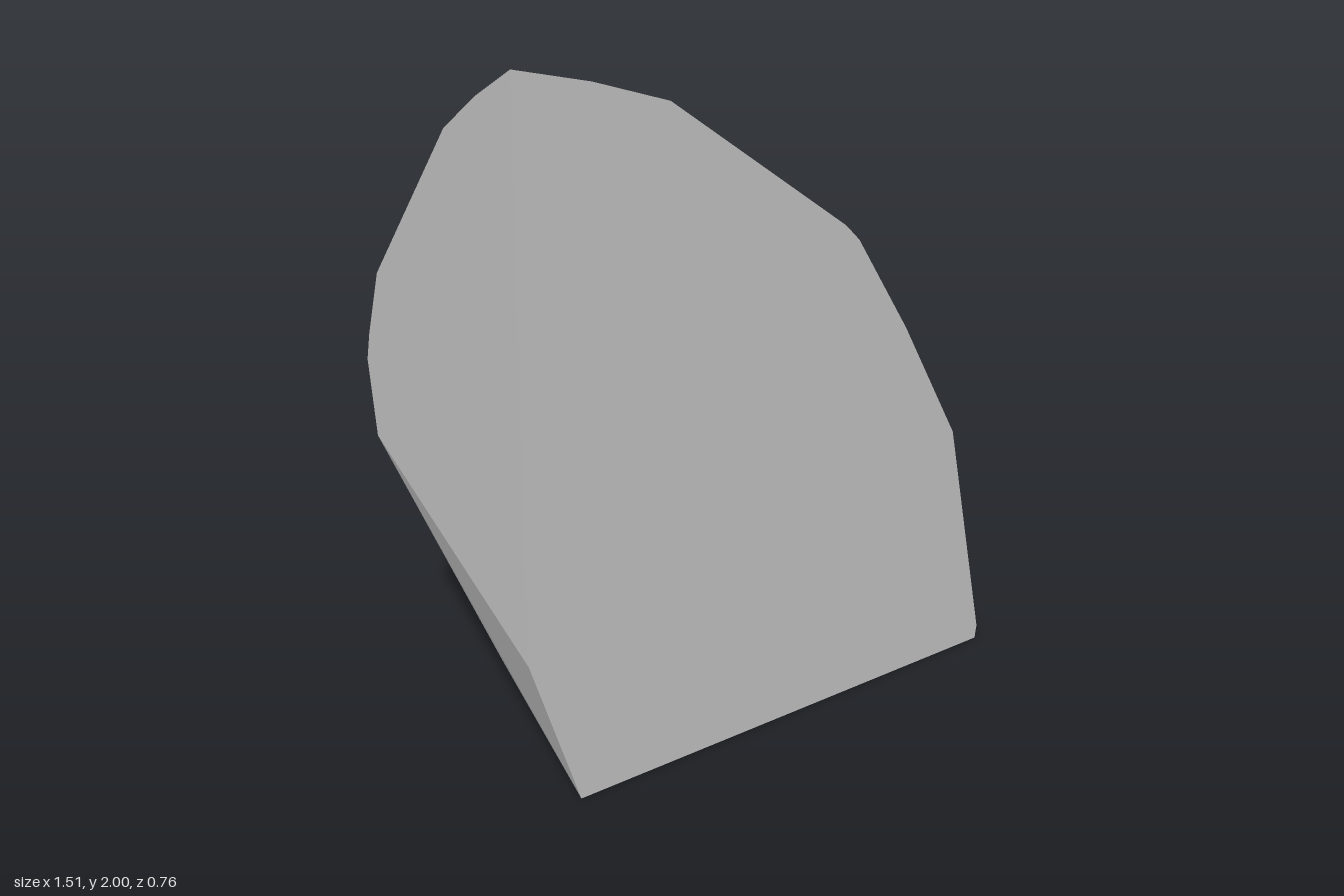
import * as THREE from 'three';
import { ConvexGeometry } from 'three/addons/geometries/ConvexGeometry.js';

const LEFT = -0.757, FRONT = 0.378;

export function createModel() {
  const stone = new THREE.MeshStandardMaterial({ color: 0xc0c0c0 });
  stone.name = 'paleGreyStone';
  stone.flatShading = true;

  // flat front cut, as x, y
  const frontCut = [
    [LEFT, 2], [-0.54, 1.93], [-0.32, 1.84], [0.225, 1.4], [0.27, 1.35],
    [0.44, 1.06], [0.625, 0.7], [0.755, 0.04], [0.75, 0], [-0.61, 0], [LEFT, 0.45],
  ];
  // flat side cut, as z, y
  const sideCut = [
    [0.22, 1.895], [0.07, 1.775], [-0.3, 1.28], [-0.36, 1.09], [-0.378, 1.01], [-0.345, 0.8],
  ];
  // flat underside, as x, z
  const underside = [[-0.42, -0.312], [-0.2, -0.378], [0.01, -0.318], [0.385, -0.025]];
  // corners of the rounded, faceted back, as x, y, z
  const facets = [
    [-0.42, 1.64, 0.07], [-0.52, 1.17, -0.305], [-0.08, 1.19, -0.07],
    [0.23, 1.33, 0.3], [-0.2, 0.78, -0.32], [0.34, 0.6, 0],
  ];

  const corners = [
    ...frontCut.map(([x, y]) => new THREE.Vector3(x, y, FRONT)),
    ...sideCut.map(([z, y]) => new THREE.Vector3(LEFT, y, z)),
    ...underside.map(([x, z]) => new THREE.Vector3(x, 0, z)),
    ...facets.map((p) => new THREE.Vector3(...p)),
  ];

  const rock = new THREE.Mesh(new ConvexGeometry(corners), stone);
  rock.name = 'rockChunk';

  const group = new THREE.Group();
  group.name = 'rock';
  group.add(rock);
  return group;
}
